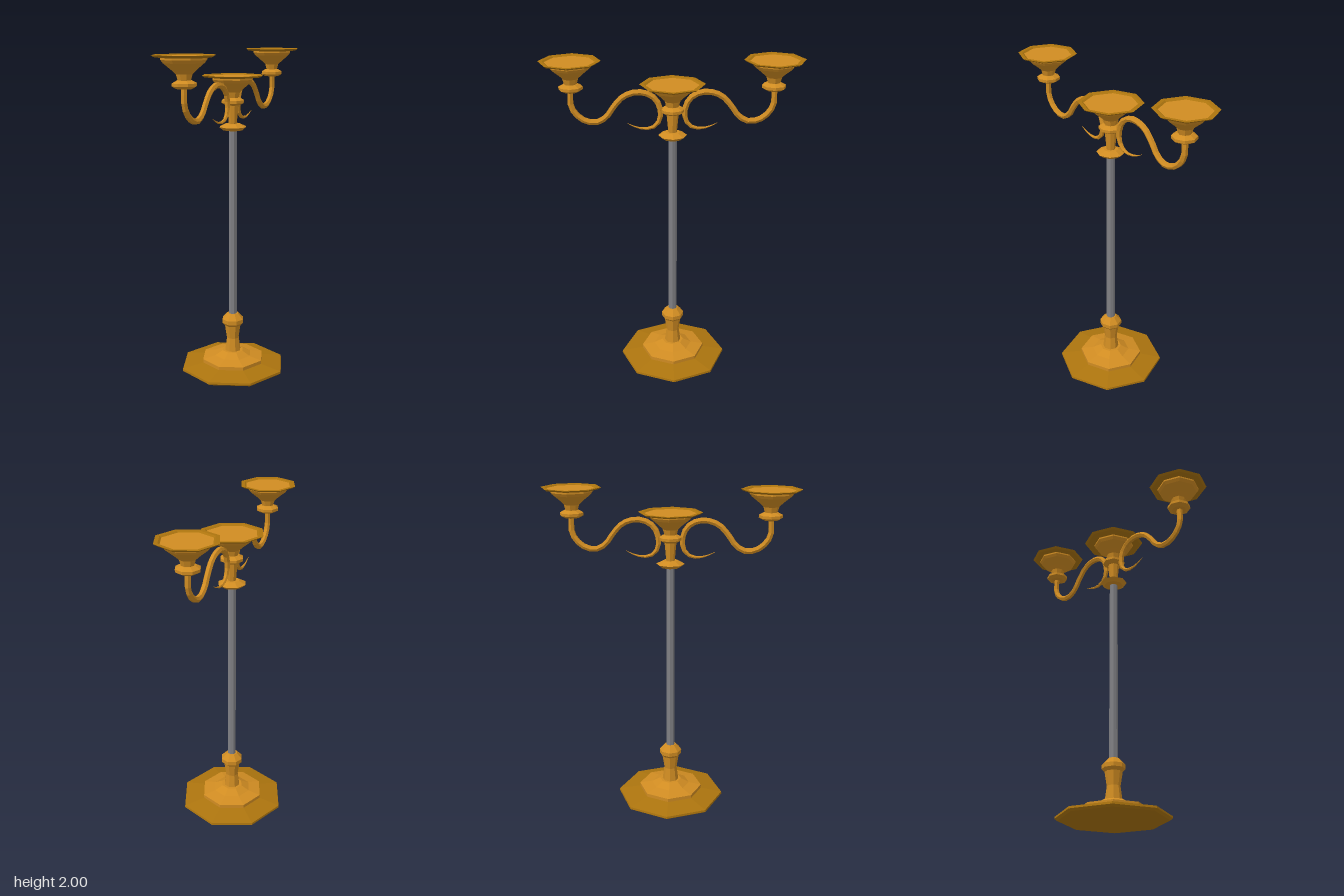
import * as THREE from 'three';

const SIDES = 8;

export function createModel() {
  const model = new THREE.Group();
  model.name = 'candelabrum';

  const mat = (name, color) => {
    const m = new THREE.MeshStandardMaterial({ color, flatShading: true });
    m.name = name;
    return m;
  };
  const gold = mat('gold', 0xd08c22);
  const darkGold = mat('darkGold', 0xac740e);
  const steel = mat('steel', 0x808084);

  // Octagonal turned part; profile is [radius, y] from bottom to top
  const turned = (name, profile, material, parent = model) => {
    const pts = profile.map(([r, y]) => new THREE.Vector2(r, y));
    const mesh = new THREE.Mesh(new THREE.LatheGeometry(pts, SIDES), material);
    mesh.name = name;
    parent.add(mesh);
    return mesh;
  };

  // Foot: broad plate, stepped tier, waisted stem and collar
  turned('footPlate', [[0, 0], [0.32, 0], [0.337, 0.012], [0.335, 0.025], [0.2, 0.05], [0, 0.05]], darkGold);
  turned('footTier', [[0.2, 0.048], [0.2, 0.072], [0.12, 0.088], [0.068, 0.115], [0, 0.115]], gold);
  turned('footStem', [[0.052, 0.11], [0.04, 0.2], [0.053, 0.285], [0.07, 0.303],
    [0.07, 0.328], [0.035, 0.365], [0, 0.365]], gold);

  // Pole
  turned('pole', [[0.027, 0.35], [0.025, 1.55]], steel);

  // Collar and short stem above the pole
  turned('poleCollar', [[0, 1.535], [0.06, 1.535], [0.085, 1.555], [0.045, 1.575], [0, 1.575]], gold);
  turned('upperStem', [[0.025, 1.57], [0.036, 1.69]], gold);

  // Candle cup with its drip pan; the origin is the centre of the pan's top
  const candleCup = (name, s, y, z) => {
    const cup = new THREE.Group();
    cup.name = name;
    turned('bead', [[0, -0.177], [0.045, -0.177], [0.07, -0.163], [0.07, -0.147], [0.042, -0.132], [0, -0.132]], gold, cup);
    turned('funnel', [[0.036, -0.135], [0.046, -0.1], [0.07, -0.078], [0.115, -0.042], [0.128, -0.025], [0.128, -0.012]], gold, cup);
    turned('panRim', [[0.12, -0.016], [0.165 * s, -0.01], [0.178 * s, 0], [0.155 * s, 0], [0.144 * s, -0.007]], darkGold, cup);
    turned('panFloor', [[0.146 * s, -0.007], [0, -0.007]], gold, cup);
    cup.position.set(0, y, z);
    model.add(cup);
  };
  candleCup('centreCup', 1.075, 1.862, 0);

  // Scrolled arm path as [z, y], from the outer cup to the curled tip
  const path = [[0.585, 1.83], [0.585, 1.735], [0.55, 1.677], [0.497, 1.643], [0.44, 1.638],
    [0.385, 1.67], [0.338, 1.735], [0.285, 1.79], [0.217, 1.815], [0.148, 1.808], [0.095, 1.77],
    [0.07, 1.7], [0.08, 1.64], [0.11, 1.607], [0.16, 1.595], [0.217, 1.607], [0.265, 1.63]];

  const scrollArm = (side) => {
    const curve = new THREE.CatmullRomCurve3(path.map(([z, y]) => new THREE.Vector3(0, y, z * side)));
    const steps = 26, sides = 6;
    const geo = new THREE.TubeGeometry(curve, steps, 0.018, sides, false);
    // Taper the curl to a point
    const pos = geo.attributes.position;
    const v = new THREE.Vector3();
    for (let i = 0; i < pos.count; i++) {
      const t = Math.floor(i / (sides + 1)) / steps;
      const c = curve.getPointAt(t);
      const k = t < 0.75 ? 1 : 1 - 0.95 * (t - 0.75) / 0.25;
      v.fromBufferAttribute(pos, i).sub(c).multiplyScalar(k).add(c);
      pos.setXYZ(i, v.x, v.y, v.z);
    }
    const arm = new THREE.Mesh(geo, gold);
    arm.name = side > 0 ? 'frontArm' : 'backArm';
    model.add(arm);
  };

  // Two outer arms, front and back
  for (const side of [1, -1]) {
    scrollArm(side);
    candleCup(side > 0 ? 'frontCup' : 'backCup', 1, 2, 0.582 * side);
  }
  return model;
}
